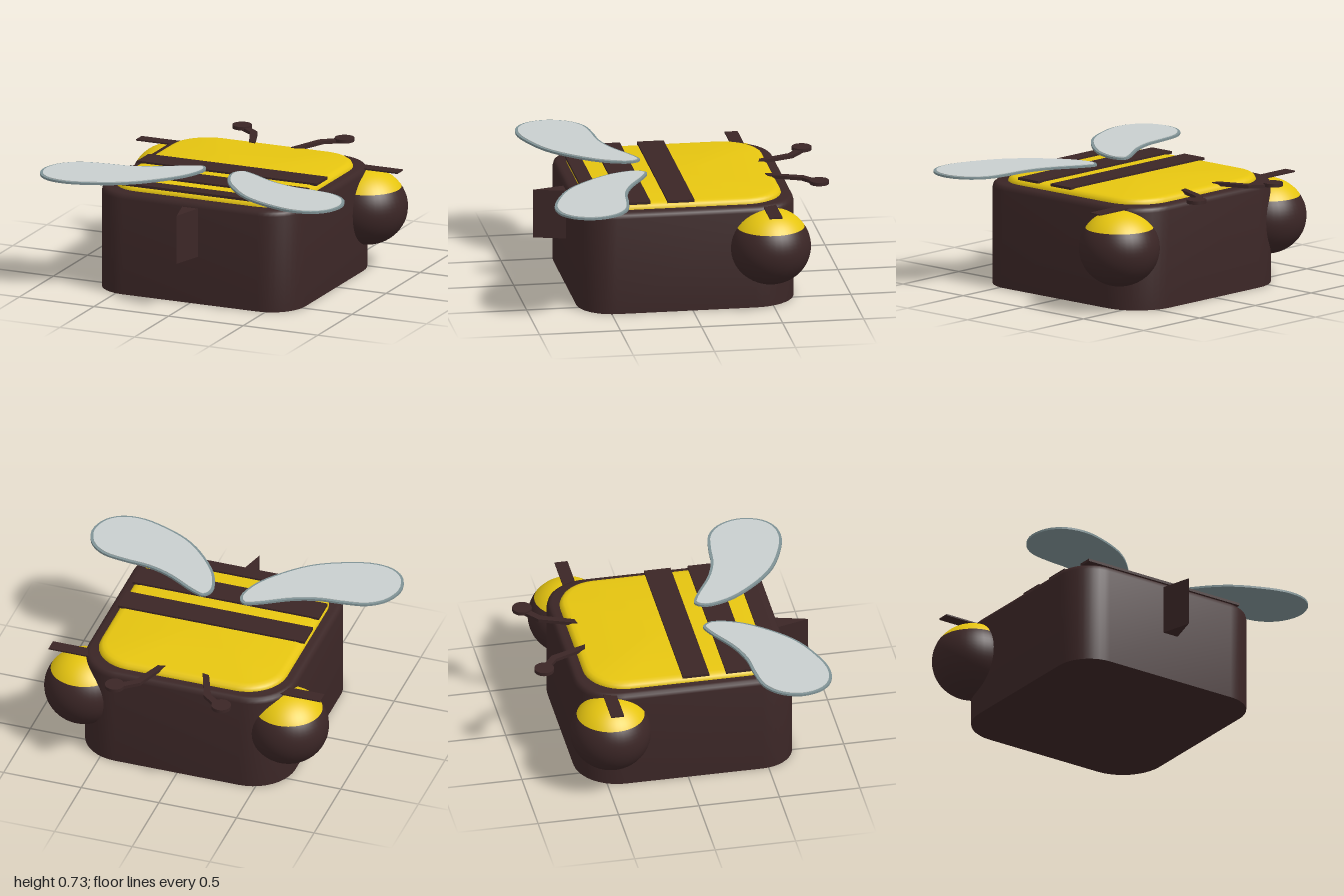
import * as THREE from 'three';
import { toCreasedNormals } from 'three/addons/utils/BufferGeometryUtils.js';

const material = (name, color) => Object.assign(new THREE.MeshStandardMaterial({ color }), { name });

// Rounded rectangle in the ground plane, counter-clockwise seen from above, shrunk by inset
function outline(hw, zBack, zFront, rBack, rFront, inset) {
  const pts = [];
  const corners = [[1, zFront, rFront, 1], [1, zBack, rBack, -1], [-1, zBack, rBack, -1], [-1, zFront, rFront, 1]];
  corners.forEach(([sx, z, r, sz], i) => {
    const cx = sx * (hw - r), cz = z - sz * r;
    for (let k = 0; k <= 10; k++) {
      const a = (i - 1) * Math.PI / 2 + (k / 10) * Math.PI / 2;
      pts.push([cx + Math.cos(a) * (r - inset), cz - Math.sin(a) * (r - inset)]);
    }
  });
  return pts;
}

// Closed loft through rings of [height, inset], with flat caps
function loft(dims, rings) {
  const pos = [], idx = [];
  const n = outline(...dims, 0).length;
  for (const [y, inset] of rings) for (const [x, z] of outline(...dims, inset)) pos.push(x, y, z);
  for (let r = 0; r < rings.length - 1; r++) {
    for (let i = 0; i < n; i++) {
      const a = r * n + i, b = r * n + (i + 1) % n;
      idx.push(a, b, b + n, a, b + n, a + n);
    }
  }
  const top = (rings.length - 1) * n, c = pos.length / 3;
  pos.push(0, rings[0][0], 0, 0, rings[rings.length - 1][0], 0);
  for (let i = 0; i < n; i++) {
    const j = (i + 1) % n;
    idx.push(c, j, i, c + 1, top + i, top + j);
  }
  const g = new THREE.BufferGeometry();
  g.setAttribute('position', new THREE.Float32BufferAttribute(pos, 3));
  g.setIndex(idx);
  return toCreasedNormals(g, 0.6);
}

// Flat plate from [x, z] points, from height y0 to y1
function plate(points, y0, y1) {
  const shape = new THREE.Shape(points.map(([x, z]) => new THREE.Vector2(x, -z)));
  const g = new THREE.ExtrudeGeometry(shape, { depth: y1 - y0, bevelEnabled: false });
  return g.rotateX(-Math.PI / 2).translate(0, y0, 0);
}

// Smooth closed curve through the wing points, moved inwards by inset
function wingOutline(side, inset) {
  const raw = [[0.09, 0.26], [0.13, 0.2], [0.2, 0.22], [0.4, 0.335], [0.55, 0.385], [0.7, 0.4], [0.85, 0.43],
    [0.95, 0.51], [0.997, 0.64], [0.965, 0.77], [0.88, 0.845], [0.75, 0.865], [0.58, 0.82], [0.4, 0.73],
    [0.25, 0.59], [0.13, 0.42]];
  const curve = new THREE.CatmullRomCurve3(raw.map(([x, z]) => new THREE.Vector3(x, 0, z)), true);
  const p = curve.getPoints(56).slice(0, -1);
  return p.map((v, i) => {
    const a = p[(i + p.length - 1) % p.length], b = p[(i + 1) % p.length];
    const dx = b.x - a.x, dz = b.z - a.z, l = Math.hypot(dx, dz);
    return [side * (v.x - dz / l * inset), v.z + dx / l * inset];
  });
}

export function createModel() {
  const dark = material('dark brown', 0x3b2626);
  const yellow = material('yellow', 0xe6c510);
  const wingPale = material('pale wing', 0xc8cfce);
  const wingEdge = material('wing rim', 0x7f9295);

  const model = new THREE.Group();
  model.name = 'bee';
  const add = (name, geometry, mat, parent = model) => {
    const mesh = new THREE.Mesh(geometry, mat);
    mesh.name = name;
    parent.add(mesh);
    return mesh;
  };
  const box = (x, y, z, w, h, d) => new THREE.BoxGeometry(w, h, d).translate(x, y, z);

  // Body tub and padded yellow back
  add('body', loft([0.67, -0.66, 0.685, 0.27, 0.22],
    [[0, 0], [0.605, 0], [0.625, 0.006], [0.636, 0.018], [0.64, 0.035]]), dark);
  add('backPanel', loft([0.6, -0.59, 0.61, 0.25, 0.2],
    [[0.6, 0], [0.642, 0], [0.66, 0.008], [0.671, 0.025], [0.675, 0.05]]), yellow);

  // Stripes across the back
  for (const [z0, z1, hw] of [[-0.02, 0.145, 0.6], [0.25, 0.415, 0.6], [0.53, 0.62, 0.56]]) {
    add('stripe', box(0, 0.679, (z0 + z1) / 2, hw * 2, 0.016, z1 - z0), dark);
  }

  // Stinger, a tall wedge
  add('stinger', plate([[-0.057, 0.67], [0.057, 0.67], [0, 0.88]], 0.3, 0.605), dark);

  for (const side of [1, -1]) {
    // Round side pod with a yellow cap and a bar on top
    const pod = new THREE.Group();
    pod.name = side > 0 ? 'leftPod' : 'rightPod';
    const split = 1.0;
    const ball = (t0, t1) => new THREE.SphereGeometry(1, 40, 20, 0, Math.PI * 2, t0, t1)
      .scale(0.247, 0.235, 0.247).translate(side * 0.657, 0.386, -0.48);
    add('podBase', ball(split, Math.PI - split), dark, pod);
    add('podCap', ball(0, split), yellow, pod);
    add('podBar', box(side * 0.66, 0.63, -0.48, 0.43, 0.009, 0.08), dark, pod);
    model.add(pod);

    // Antenna: bent flat stem with a disc tip
    const antenna = new THREE.Group();
    antenna.name = side > 0 ? 'leftAntenna' : 'rightAntenna';
    const stem = [[0.12, -0.53], [0.165, -0.54], [0.245, -0.735], [0.335, -0.8], [0.305, -0.835], [0.205, -0.755]];
    add('antennaStem', plate(stem.map(([x, z]) => [side * x, z]), 0.66, 0.681), dark, antenna);
    add('antennaTip', new THREE.CylinderGeometry(0.06, 0.06, 0.022, 28)
      .translate(side * 0.343, 0.679, -0.83), dark, antenna);
    model.add(antenna);

    // Wing: rim plate with a pale face on top
    const wing = new THREE.Group();
    wing.name = side > 0 ? 'leftWing' : 'rightWing';
    add('wingRim', plate(wingOutline(side, 0), 0.713, 0.726), wingEdge, wing);
    add('wingFace', plate(wingOutline(side, 0.017), 0.724, 0.73), wingPale, wing);
    model.add(wing);
  }
  return model;
}
